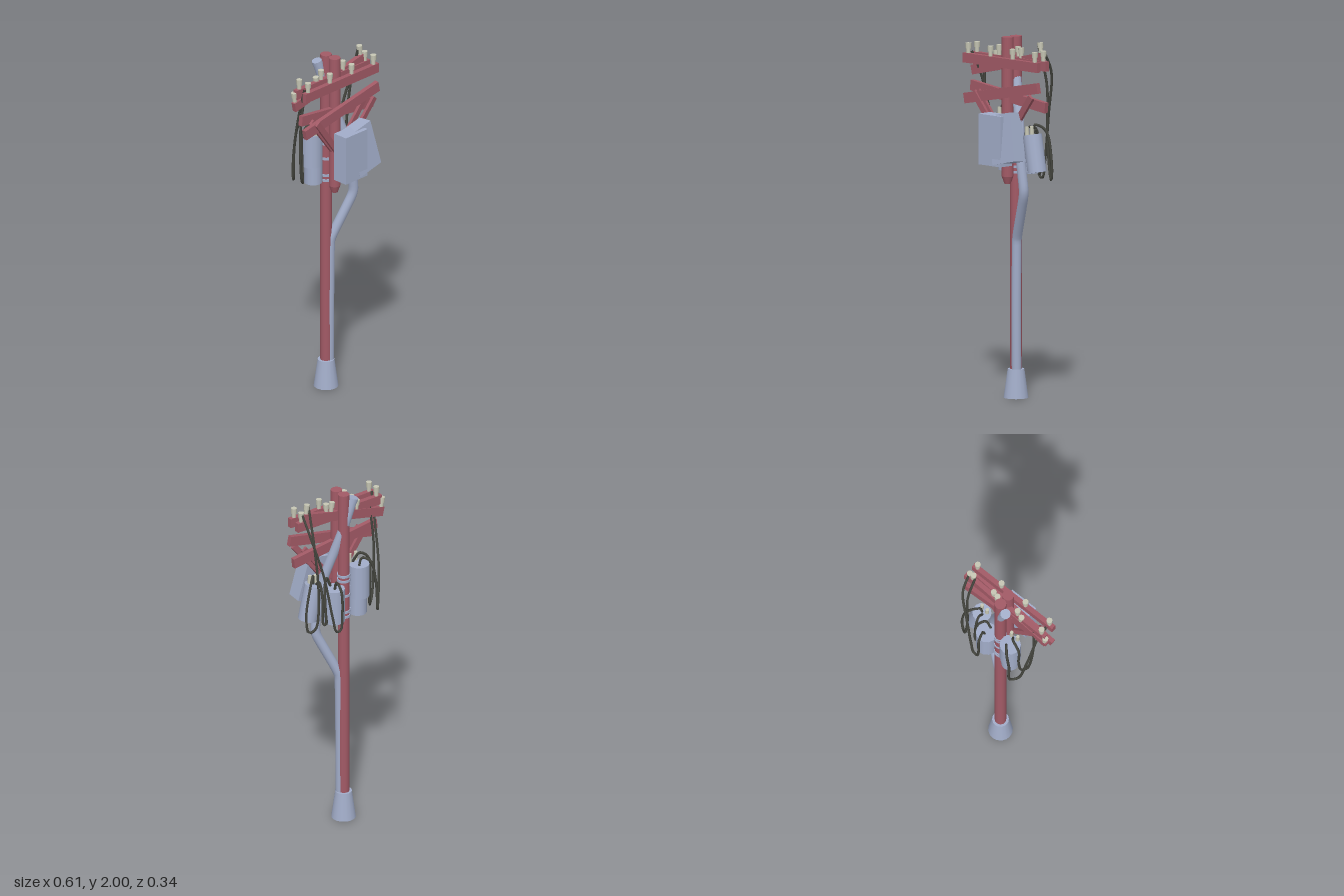
import * as THREE from 'three';

const V = (x, y, z) => new THREE.Vector3(x, y, z);

export function createModel() {
  const root = new THREE.Group();
  root.name = 'utilityPole';
  const paint = (name, color) => {
    const m = new THREE.MeshStandardMaterial({ color });
    m.name = name;
    return m;
  };
  const wood = paint('redWood', 0xa25a66);
  const metal = paint('blueGreyMetal', 0xa2adc9);
  metal.side = THREE.DoubleSide;
  const ceramic = paint('paleCeramic', 0xc6c6b4);
  const rubber = paint('darkRubber', 0x45463f);

  const add = (name, geo, mat, parent = root) => {
    const m = new THREE.Mesh(geo, mat);
    m.name = name;
    parent.add(m);
    return m;
  };
  // Cylinder running between two points
  const rod = (name, a, b, rBottom, rTop, mat, sides = 12, open = false) => {
    const m = add(name, new THREE.CylinderGeometry(rTop, rBottom, a.distanceTo(b), sides, 1, open), mat);
    m.position.copy(a).lerp(b, 0.5);
    m.quaternion.setFromUnitVectors(V(0, 1, 0), b.clone().sub(a).normalize());
    return m;
  };
  // Rectangular timber running between two points
  const beam = (name, a, b, height, depth) => {
    const m = add(name, new THREE.BoxGeometry(a.distanceTo(b), height, depth), wood);
    m.position.copy(a).lerp(b, 0.5);
    m.quaternion.setFromUnitVectors(V(1, 0, 0), b.clone().sub(a).normalize());
    return m;
  };

  // Poles and hollow footing
  rod('mainPole', V(0, 0.14, -0.058), V(0, 2, -0.058), 0.032, 0.032, wood, 16);
  rod('shortPole', V(0, 1.23, 0.008), V(0, 2, 0.008), 0.032, 0.032, wood, 16);
  rod('shortPoleTip', V(0, 1.19, 0.008), V(0, 1.23, 0.008), 0.018, 0.032, wood, 16);
  rod('footing', V(0, 0, -0.058), V(0, 0.16, -0.058), 0.068, 0.046, metal, 16, true);
  rod('footingTop', V(0, 0.152, -0.058), V(0, 0.16, -0.058), 0.046, 0.046, metal, 16);

  // Metal straps around the main pole
  for (const y of [1.25, 1.28, 1.38, 1.47, 1.5]) {
    rod('poleStrap', V(0, y - 0.007, -0.058), V(0, y + 0.007, -0.058), 0.037, 0.037, metal, 16);
  }

  // Bent conduit winding up past the poles
  const conduitPath = new THREE.CatmullRomCurve3([
    V(0.014, 0.14, -0.048), V(0.014, 0.5, -0.046), V(0.018, 0.83, -0.045), V(0.028, 0.9, -0.04),
    V(0.125, 1.12, 0.012), V(0.135, 1.18, 0.02), V(0.115, 1.32, 0.02), V(0.085, 1.5, 0),
    V(0.04, 1.65, -0.03), V(0.004, 1.78, -0.058), V(-0.05, 1.965, -0.077),
  ], false, 'catmullrom', 0.3);
  add('conduit', new THREE.TubeGeometry(conduitPath, 80, 0.027, 12), metal);
  rod('conduitEnd', V(-0.0455, 1.95, -0.0755), V(-0.052, 1.972, -0.078), 0.029, 0.029, metal);

  // Cross-arms: a level pair on top, then three that have slipped askew
  beam('frontTopArm', V(-0.285, 1.863, 0.054), V(0.285, 1.863, 0.054), 0.054, 0.028);
  beam('backTopArm', V(-0.285, 1.863, -0.013), V(0.285, 1.863, -0.013), 0.054, 0.028);
  beam('tiltedTopArm', V(-0.292, 1.787, -0.018), V(0.25, 1.91, -0.02), 0.054, 0.026);
  beam('frontLowerArm', V(-0.28, 1.638, 0.052), V(0.286, 1.75, 0.056), 0.058, 0.026);
  beam('backLowerArm', V(-0.27, 1.708, 0.012), V(0.296, 1.637, 0.005), 0.058, 0.026);

  // Diagonal braces
  for (const s of [-1, 1]) {
    beam('backBrace', V(s * 0.205, 1.685, 0.03), V(s * 0.03, 1.46, 0.02), 0.034, 0.016);
  }
  beam('frontRightBrace', V(-0.2, 1.685, 0.07), V(-0.03, 1.46, 0.056), 0.034, 0.016);
  beam('frontLeftBrace', V(0.245, 1.7, 0.072), V(0.08, 1.49, 0.056), 0.034, 0.016);

  // Insulators
  const insulator = (x, y, z, tilt) => {
    const g = new THREE.Group();
    g.name = 'insulator';
    g.position.set(x, y, z);
    g.rotation.z = tilt;
    add('insulatorStem', new THREE.CylinderGeometry(0.012, 0.012, 0.03, 8), ceramic, g).position.y = 0.015;
    add('insulatorCap', new THREE.CylinderGeometry(0.017, 0.016, 0.03, 8), ceramic, g).position.y = 0.041;
    root.add(g);
  };
  for (const x of [-0.255, -0.085, 0.085, 0.255]) {
    insulator(x, 1.89, 0.054, 0);
    insulator(x, 1.89, -0.013, 0);
    insulator(x - 0.027, 1.882 + (x - 0.027) * 0.227, -0.021, 0.12);
  }

  // Control boxes, one hanging loose
  add('controlBox', new THREE.BoxGeometry(0.17, 0.28, 0.09), metal).position.set(0.015, 1.445, 0.118);
  const loose = add('looseControlBox', new THREE.BoxGeometry(0.17, 0.27, 0.083), metal);
  loose.position.set(0.094, 1.458, 0.11);
  loose.rotation.set(-0.1, 0, 0.215);

  // Transformer cans
  const can = (name, a, b, r) => rod(name, a, b, r, r, metal, 14);
  can('rightTransformer', V(-0.088, 1.355, -0.08), V(-0.088, 1.55, -0.08), 0.058);
  can('rightTransformerBase', V(-0.083, 1.25, -0.075), V(-0.083, 1.355, -0.075), 0.05);
  can('leftTransformer', V(0.08, 1.25, -0.08), V(0.08, 1.45, -0.08), 0.059);
  can('looseTransformer', V(0.21, 1.27, -0.01), V(0.168, 1.475, -0.015), 0.053);

  // Ceramic bushings on the cans
  for (const [x, y, z] of [[-0.058, 1.55, -0.034], [-0.1, 1.55, -0.032], [0.148, 1.468, 0.005], [0.185, 1.475, 0.005]]) {
    rod('bushing', V(x, y, z), V(x - 0.002, y + 0.05, z), 0.012, 0.01, ceramic, 8);
  }

  // Brackets tying the cans to the pole
  for (const y of [1.28, 1.42]) {
    add('canBracket', new THREE.BoxGeometry(0.12, 0.025, 0.02), metal).position.set(0, y, -0.07);
  }

  // Slack cables hanging from the arms to the cans
  const cables = [
    [V(-0.255, 1.9, 0.03), V(-0.235, 1.78, -0.02), V(-0.215, 1.5, -0.09), V(-0.18, 1.28, -0.13),
      V(-0.155, 1.28, -0.16), V(-0.145, 1.45, -0.16), V(-0.115, 1.59, -0.145), V(-0.085, 1.6, -0.11), V(-0.075, 1.55, -0.1)],
    [V(-0.205, 1.85, -0.02), V(-0.218, 1.6, -0.04), V(-0.19, 1.31, -0.06), V(-0.165, 1.27, -0.075),
      V(-0.155, 1.4, -0.09), V(-0.15, 1.57, -0.085), V(-0.1, 1.61, -0.07), V(-0.075, 1.55, -0.04)],
    [V(0.21, 1.97, -0.02), V(0.215, 1.75, -0.08), V(0.2, 1.45, -0.1), V(0.22, 1.25, -0.1),
      V(0.25, 1.225, -0.08), V(0.262, 1.32, -0.07), V(0.225, 1.5, -0.06), V(0.18, 1.53, -0.02), V(0.17, 1.47, -0.01)],
    [V(0.255, 1.94, -0.02), V(0.245, 1.82, -0.085), V(0.185, 1.58, -0.125), V(0.135, 1.3, -0.145),
      V(0.115, 1.22, -0.15), V(0.09, 1.22, -0.152), V(0.078, 1.3, -0.152), V(0.08, 1.46, -0.145), V(0.085, 1.5, -0.11), V(0.085, 1.44, -0.09)],
    [V(0.08, 1.45, -0.045), V(0.11, 1.51, -0.05), V(0.14, 1.47, -0.075), V(0.15, 1.34, -0.095), V(0.147, 1.25, -0.095),
      V(0.155, 1.25, -0.085), V(0.158, 1.4, -0.08), V(0.16, 1.5, -0.05), V(0.16, 1.47, -0.02)],
  ];
  for (const points of cables) {
    add('cable', new THREE.TubeGeometry(new THREE.CatmullRomCurve3(points), 56, 0.0075, 6), rubber);
  }

  return root;
}
